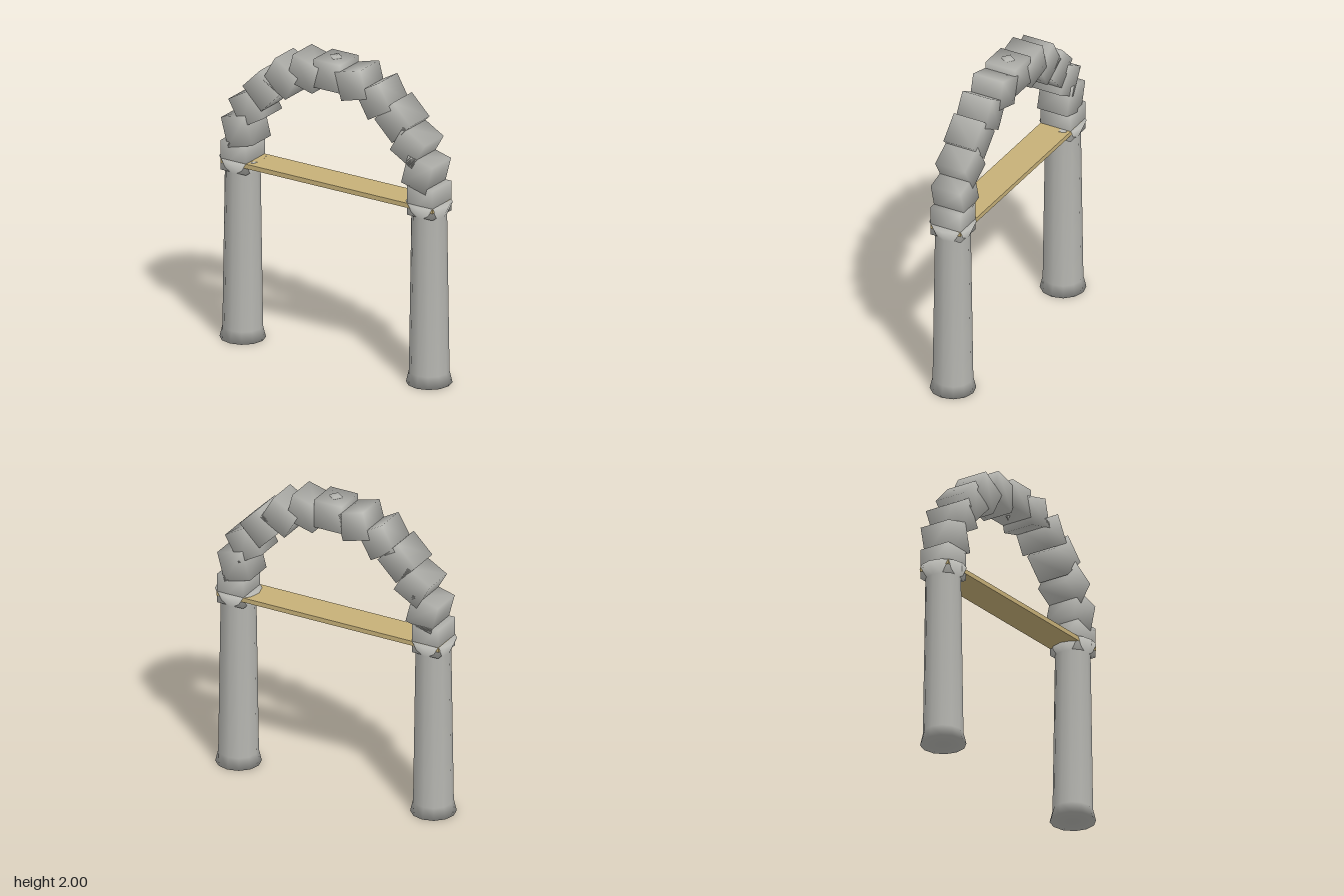
import * as THREE from 'three';
import { mergeVertices } from 'three/addons/utils/BufferGeometryUtils.js';

// Box whose corners share normals, for softly shaded stones
function softBox(w, h, d) {
  const g = new THREE.BoxGeometry(w, h, d);
  g.deleteAttribute('normal');
  g.deleteAttribute('uv');
  const merged = mergeVertices(g);
  merged.computeVertexNormals();
  return merged;
}

export function createModel() {
  const model = new THREE.Group();
  model.name = 'stoneArch';

  const stone = new THREE.MeshStandardMaterial({ color: 0xb5b5b0 });
  stone.name = 'grey stone';
  const wood = new THREE.MeshStandardMaterial({ color: 0xc6b078 });
  wood.name = 'pale wood';

  const add = (name, geometry, material, x = 0, y = 0, z = 0) => {
    const mesh = new THREE.Mesh(geometry, material);
    mesh.name = name;
    mesh.position.set(x, y, z);
    model.add(mesh);
    return mesh;
  };

  const span = 0.685;     // half the distance between columns
  const springY = 1.212;  // height of the arch centre

  // Columns: flared foot, tapering shaft, flared capital
  const profile = [
    [0, 0], [0.143, 0], [0.125, 0.075], [0.11, 1.11], [0.145, 1.19], [0, 1.19],
  ].map(([r, y]) => new THREE.Vector2(r, y));
  const columnGeometry = new THREE.LatheGeometry(profile, 12);
  add('rightColumn', columnGeometry, stone, -span);
  add('leftColumn', columnGeometry, stone, span);

  // Arch stones, each turned 15 degrees further than the last
  const blockGeometry = softBox(0.185, 0.195, 0.21);
  for (let i = 0; i <= 12; i++) {
    const a = (i * Math.PI) / 12;
    const block = add('archStone' + (i + 1), blockGeometry, stone,
      -span * Math.cos(a), springY + span * Math.sin(a));
    block.rotation.z = a;
  }

  // Crossbeam resting in the capitals
  add('crossbeam', new THREE.BoxGeometry(1.56, 0.03, 0.212), wood, 0, 1.175);

  // Four-sided pin through the top stone, ending in a point
  const pinProfile = [
    [0, 1.772], [0.016, 1.81], [0.041, 1.98], [0.041, 2], [0, 2],
  ].map(([r, y]) => new THREE.Vector2(r, y));
  const pin = add('keystonePin', new THREE.LatheGeometry(pinProfile, 4), stone);
  pin.rotation.y = 0.18;

  return model;
}
